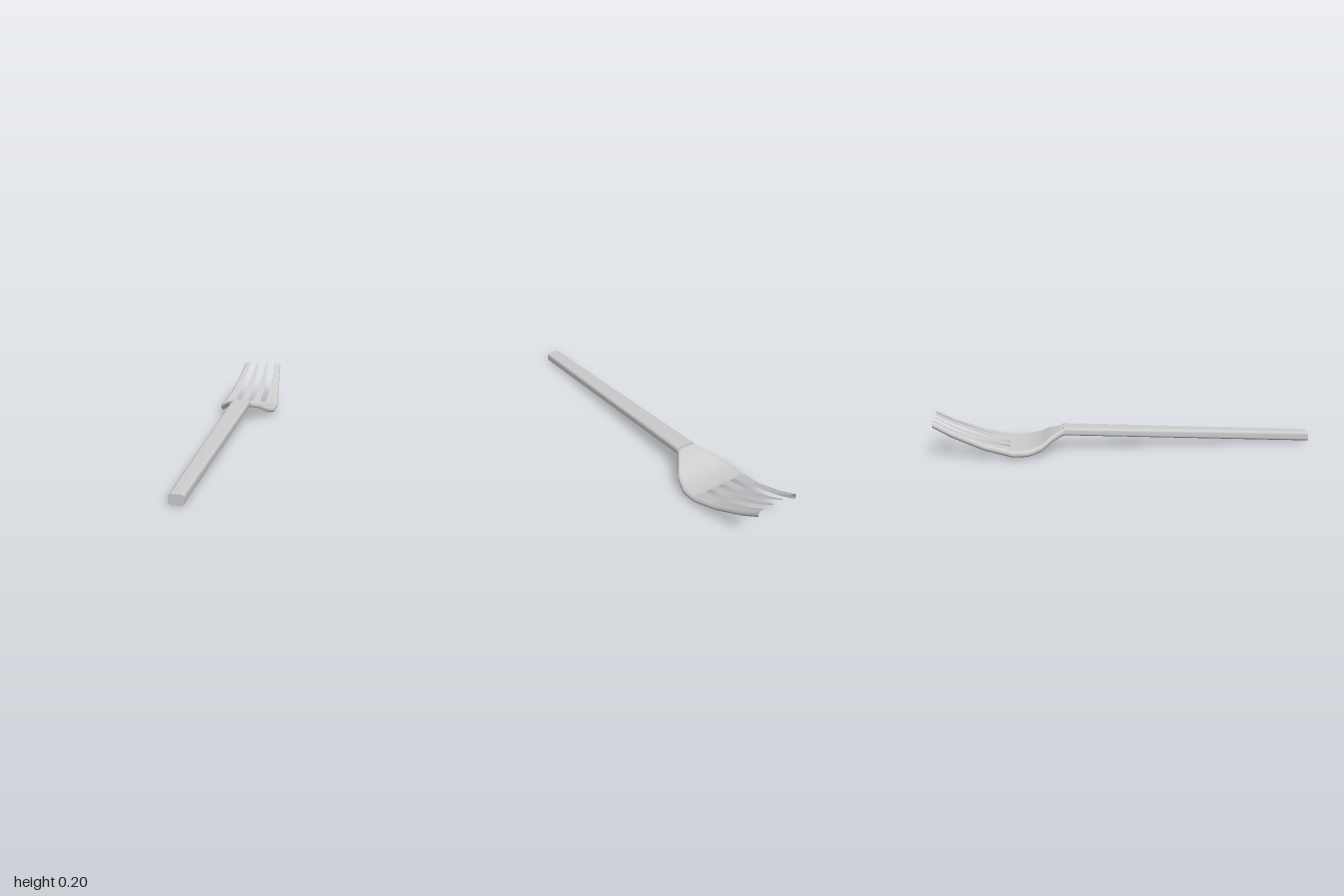
import * as THREE from 'three';

const steel = new THREE.MeshStandardMaterial({ color: 0xcccccc, side: THREE.DoubleSide });
steel.name = 'pale grey plastic';

// Skin a list of rows (each a list of [x, y, z]) into a smooth surface
function loft(name, rows) {
  const n = rows[0].length;
  const index = [];
  for (let r = 0; r < rows.length - 1; r++) {
    for (let i = 0; i < n - 1; i++) {
      const a = r * n + i, b = a + 1, c = a + n, d = c + 1;
      index.push(a, b, c, b, d, c);
    }
  }
  const geo = new THREE.BufferGeometry();
  geo.setAttribute('position', new THREE.Float32BufferAttribute(rows.flat(2), 3));
  geo.setIndex(index);
  geo.computeVertexNormals();
  const mesh = new THREE.Mesh(geo, steel);
  mesh.name = name;
  return mesh;
}

// Piecewise-linear lookup in a list of [z, value] with z falling
function sample(table, z) {
  for (let i = 1; i < table.length; i++) {
    const [z0, v0] = table[i - 1], [z1, v1] = table[i];
    if (z >= z1) return THREE.MathUtils.lerp(v0, v1, THREE.MathUtils.clamp((z - z0) / (z1 - z0), 0, 1));
  }
  return table[table.length - 1][1];
}

// Rounded section of the handle, open underneath
function handleSection(z, halfWidth, bottom, top) {
  const r = 0.015, points = [];
  const corners = [[-1, bottom + r, 1.5], [-1, top - r, 1], [1, top - r, 0.5], [1, bottom + r, 0]];
  for (const [side, cy, start] of corners) {
    for (let k = 0; k <= 5; k++) {
      const a = (start - k / 10) * Math.PI;
      points.push([side * (halfWidth - r) + r * Math.cos(a), cy + r * Math.sin(a), z]);
    }
  }
  return points;
}

function createHandle() {
  const group = new THREE.Group();
  group.name = 'handle';
  const front = handleSection(1, 0.036, 0, 0.052);
  const back = handleSection(-0.335, 0.053, 0.085, 0.128);
  group.add(loft('handleShell', [front, back]));
  group.add(loft('handleEnd', [front.map(() => [0, 0, 1]), front]));
  group.add(loft('handleNeckEnd', [back, back.map(() => [0, 0.085, -0.335])]));
  return group;
}

// Head profile: height of the top face and half width of the outline
const height = [[-0.315, 0.12], [-0.345, 0.117], [-0.4, 0.097], [-0.45, 0.066], [-0.5, 0.05],
  [-0.55, 0.045], [-0.6, 0.046], [-0.74, 0.082], [-0.9, 0.15], [-1, 0.205]];
const outline = [[-0.315, 0.048], [-0.335, 0.052], [-0.45, 0.137], [-0.525, 0.163], [-0.61, 0.163], [-1, 0.115]];
const rim = 0.02, slotStart = -0.61, slotRound = 0.016;

// Half width of each slot between tines, with a rounded root
function slotHalf(z) {
  const d = slotStart - z;
  if (d <= 0) return 0;
  const t = Math.min(d / slotRound, 1);
  return (0.016 + 0.005 * d / 0.39) * Math.sqrt(1 - (1 - t) ** 2);
}

function createHead() {
  const group = new THREE.Group();
  group.name = 'head';
  const zs = [-0.315, -0.335, -0.345, -0.37, -0.4, -0.425, -0.45, -0.475, -0.5, -0.525, -0.55, -0.58, -0.6,
    -0.61, -0.611, -0.613, -0.616, -0.62, -0.626, -0.66, -0.7, -0.74, -0.82, -0.9, -1];
  for (const s of [-1, 1]) {
    const inner = [], outer = [];
    for (const z of zs) {
      const y = sample(height, z), w = sample(outline, z), h = slotHalf(z);
      const flat = w - rim, slot = Math.min(0.074, flat * 0.6);
      // Inner tine strip
      inner.push([[s * h, y, z], [s * (slot - h), y, z]]);
      // Outer tine strip, ending in a rounded rim that turns down and under
      const row = [[s * Math.min(slot + h, flat), y, z], [s * flat, y, z]];
      for (let k = 1; k <= 8; k++) {
        const a = (k / 8) * 0.8 * Math.PI;
        row.push([s * (flat + rim * Math.sin(a)), y - 0.019 * (1 - Math.cos(a)), z]);
      }
      outer.push(row);
    }
    const side = s > 0 ? 'left' : 'right';
    // Mirrored rows run the other way so that the top stays the front face
    const order = rows => (s > 0 ? rows : rows.map(r => r.slice().reverse()));
    group.add(loft(side + 'InnerTine', order(inner)));
    group.add(loft(side + 'OuterTine', order(outer)));
  }
  return group;
}

export function createModel() {
  const model = new THREE.Group();
  model.name = 'fork';
  model.add(createHandle(), createHead());
  return model;
}
